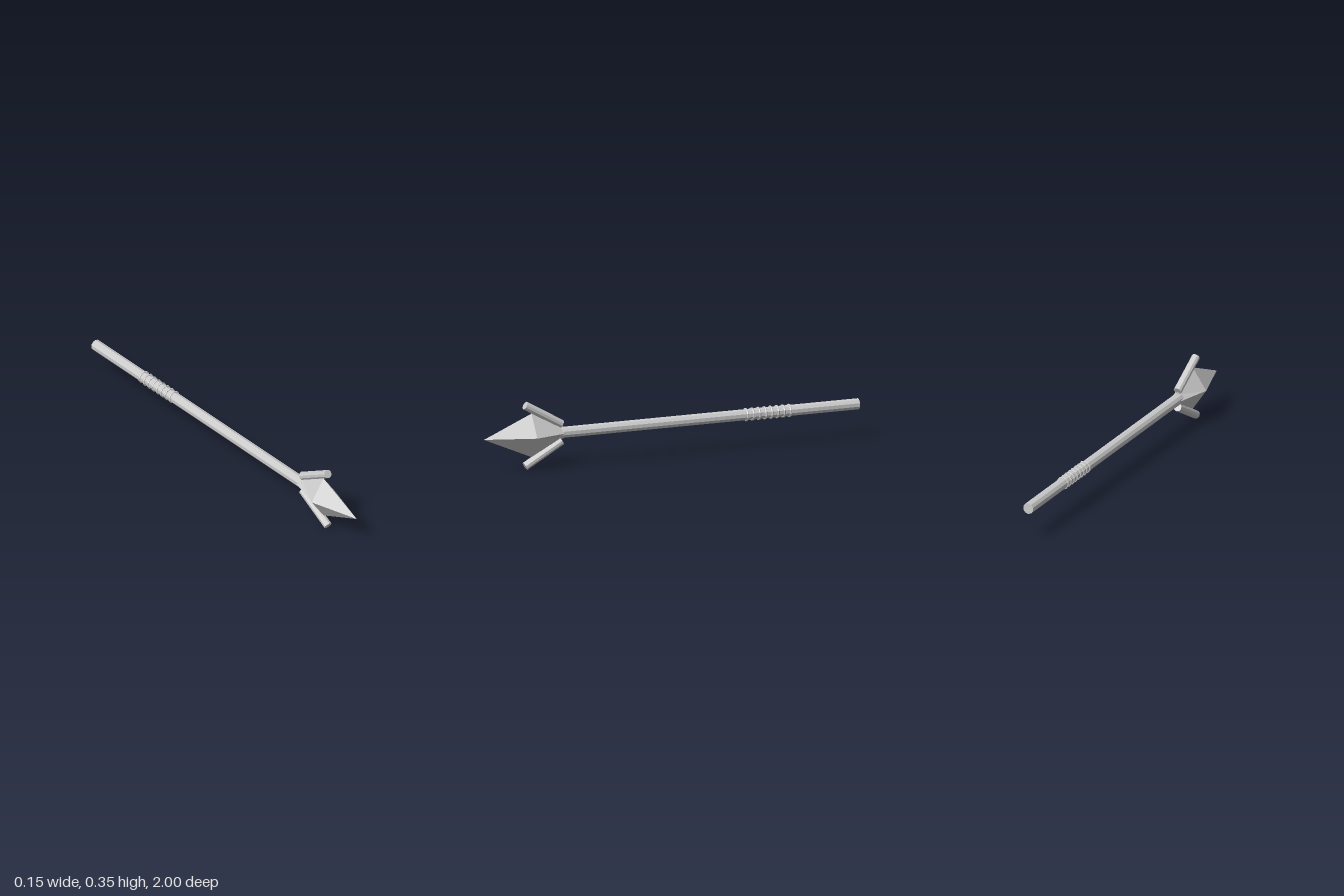
import * as THREE from 'three';

const AXIS_Y = 0.174;

export function createModel() {
  const group = new THREE.Group();
  const material = new THREE.MeshStandardMaterial({ color: 0xcccccc, flatShading: true });

  const add = (name, geometry) => {
    const mesh = new THREE.Mesh(geometry, material);
    mesh.name = name;
    group.add(mesh);
    return mesh;
  };

  // Ten-sided rod between two points of the x = 0 plane, given as [y, z]
  const rod = (name, radius, [y0, z0], [y1, z1]) => {
    const length = Math.hypot(y1 - y0, z1 - z0);
    const mesh = add(name, new THREE.CylinderGeometry(radius, radius, length, 10));
    mesh.position.set(0, (y0 + y1) / 2, (z0 + z1) / 2);
    mesh.rotation.x = Math.atan2(z1 - z0, y1 - y0);
    return mesh;
  };

  // Shaft
  rod('shaft', 0.0285, [AXIS_Y, -1], [AXIS_Y, 0.6]);

  // Grip bands wound around the rear of the shaft
  const bands = 8;
  for (let i = 0; i < bands; i++) {
    const band = add('gripBand', new THREE.TorusGeometry(0.029, 0.0055, 6, 10));
    band.position.set(0, AXIS_Y, -0.4 - (0.23 * i) / (bands - 1));
    band.rotation.z = Math.PI / 2;
  }

  // Two prongs flaring forward above and below the head
  for (const side of [1, -1]) {
    rod(side > 0 ? 'upperProng' : 'lowerProng', 0.0213,
      [AXIS_Y + side * 0.043, 0.585], [AXIS_Y + side * 0.155, 0.78]);
  }

  // Spear head: diamond sections [z, half width, half height] from socket to tip
  const sections = [[0.57, 0.028, 0.028], [0.745, 0.076, 0.111], [1, 0, 0]];
  const corners = sections.map(([z, w, h]) =>
    [[w, 0, z], [0, h, z], [-w, 0, z], [0, -h, z]]);
  const points = [];
  for (let i = 0; i < 4; i++) {
    const j = (i + 1) % 4;
    const [back, middle, tip] = corners;
    points.push(...back[i], ...back[j], ...middle[j]);
    points.push(...back[i], ...middle[j], ...middle[i]);
    points.push(...middle[i], ...middle[j], ...tip[i]);
  }
  // Rear face of the head
  const b = corners[0];
  points.push(...b[0], ...b[2], ...b[1], ...b[0], ...b[3], ...b[2]);
  const headGeometry = new THREE.BufferGeometry();
  headGeometry.setAttribute('position', new THREE.Float32BufferAttribute(points, 3));
  headGeometry.computeVertexNormals();
  add('spearHead', headGeometry).position.y = AXIS_Y;

  return group;
}
